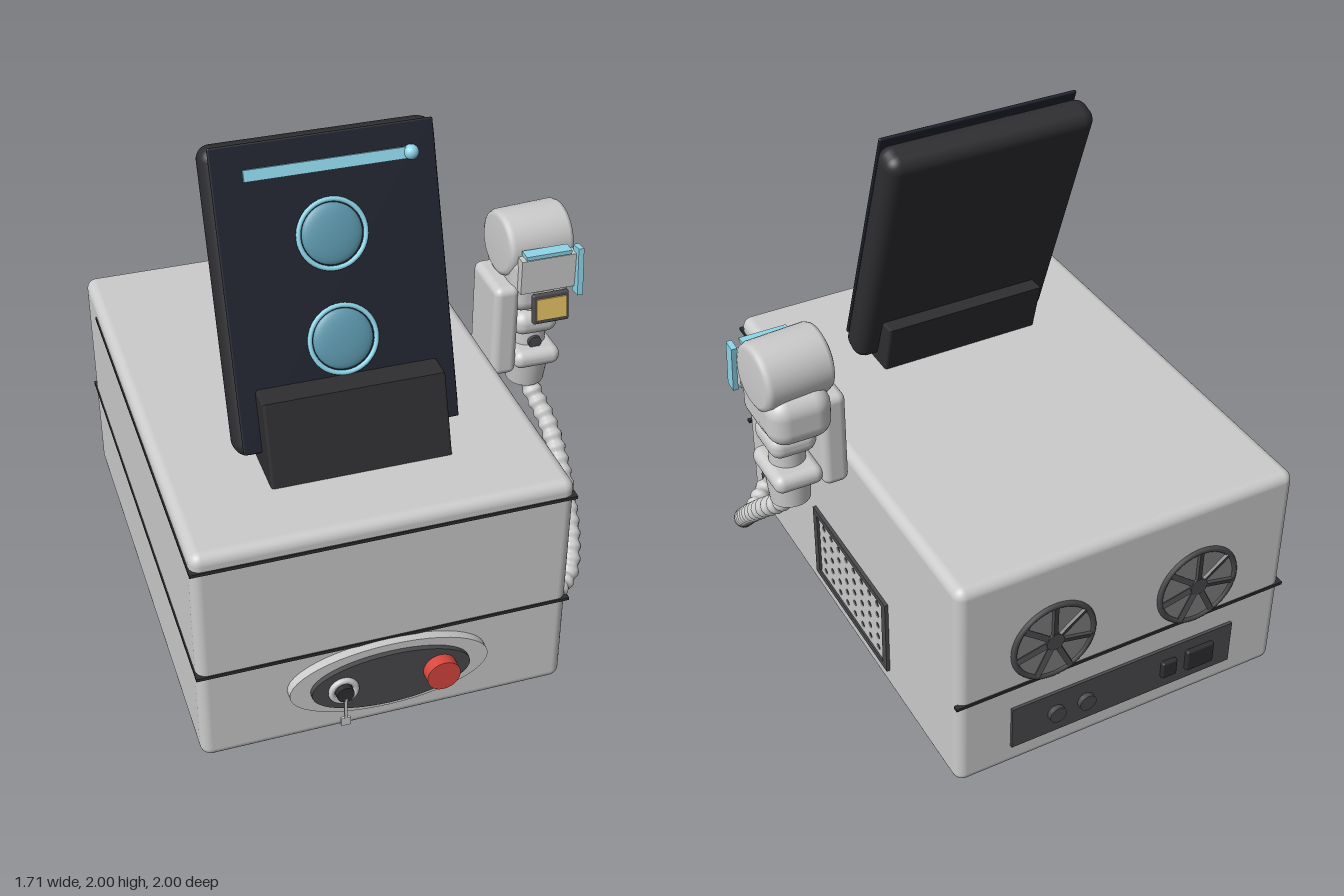
import * as THREE from 'three';
import { RoundedBoxGeometry } from 'three/addons/geometries/RoundedBoxGeometry.js';

const mat = (color) => new THREE.MeshStandardMaterial({ color });
const GREY = mat(0xcccccc);
const CHARCOAL = mat(0x2e2e31);
const NAVY = mat(0x1f232d);
const IRON = mat(0x4a4a4d);
const BLUE = mat(0x8fd6ea);
const LENS = mat(0x5c98ad);
const RED = mat(0xd8473f);
const YELLOW = mat(0xe0bd62);

export function createModel() {
  const model = new THREE.Group();
  model.name = 'scannerStation';

  const add = (parent, name, geometry, material, x = 0, y = 0, z = 0) => {
    const mesh = new THREE.Mesh(geometry, material);
    mesh.name = name;
    mesh.position.set(x, y, z);
    parent.add(mesh);
    return mesh;
  };
  const group = (name, x = 0, y = 0, z = 0, parent = model) => {
    const g = new THREE.Group();
    g.name = name;
    g.position.set(x, y, z);
    parent.add(g);
    return g;
  };
  const box = (w, h, d) => new THREE.BoxGeometry(w, h, d);
  const round = (w, h, d, r) => new RoundedBoxGeometry(w, h, d, 4, r);
  // disc or elliptical plate whose axis is z
  const disc = (rx, ry, depth) =>
    new THREE.CylinderGeometry(1, 1, depth, 48).rotateX(Math.PI / 2).scale(rx, ry, 1);

  // Housing
  const CX = -0.165, CZ = -0.035;
  add(model, 'housing', round(1.37, 0.92, 1.87, 0.04), GREY, CX, 0.46, CZ);

  // Seam lines: full lower band, and an upper band that fades out on the sides
  const seams = group('seams');
  add(seams, 'lowerSeamFront', box(1.38, 0.012, 0.02), CHARCOAL, CX, 0.39, 0.895);
  add(seams, 'lowerSeamBack', box(1.38, 0.012, 0.02), CHARCOAL, CX, 0.39, -0.965);
  add(seams, 'lowerSeamSide', box(0.02, 0.012, 1.88), CHARCOAL, -0.845, 0.39, CZ);
  add(seams, 'upperSeamFront', box(1.38, 0.012, 0.02), CHARCOAL, CX, 0.855, 0.895);
  add(seams, 'upperSeamRight', box(0.02, 0.012, 1.65), CHARCOAL, -0.845, 0.855, 0.08);
  add(seams, 'upperSeamLeft', box(0.02, 0.012, 0.8), CHARCOAL, 0.515, 0.855, 0.5);

  // Front control panel
  const controls = group('controlPanel', CX, 0.245, 0);
  add(controls, 'outerPlate', disc(0.37, 0.145, 0.04), GREY, 0, 0, 0.915);
  add(controls, 'innerPlate', disc(0.295, 0.115, 0.03), IRON, 0, 0, 0.94);
  add(controls, 'stopButton', disc(0.062, 0.062, 0.06), RED, 0.18, 0, 0.97);
  add(controls, 'keyRing', new THREE.TorusGeometry(0.045, 0.012, 10, 32), GREY, -0.18, 0, 0.96);
  add(controls, 'keyBarrel', disc(0.032, 0.032, 0.04), CHARCOAL, -0.18, 0, 0.965);
  add(controls, 'keyStem', box(0.01, 0.1, 0.01), GREY, -0.18, -0.07, 0.98);
  add(controls, 'keyTag', box(0.035, 0.035, 0.01), GREY, -0.18, -0.128, 0.98);

  // Back fans
  for (const x of [0.14, -0.46]) {
    const fan = group('fan', x, 0.55, -0.97);
    add(fan, 'fanBacking', disc(0.16, 0.16, 0.008), mat(0x808082));
    add(fan, 'fanRing', new THREE.TorusGeometry(0.16, 0.012, 8, 48), IRON);
    add(fan, 'fanHub', disc(0.035, 0.035, 0.03), IRON);
    for (let i = 0; i < 7; i++) {
      const arm = group('fanBlade', 0, 0, -0.006, fan);
      arm.rotation.z = (i / 7) * Math.PI * 2;
      add(arm, 'blade', box(0.022, 0.14, 0.012), IRON, 0, 0.085, 0).rotation.y = 0.3;
    }
  }

  // Back connector panel
  const ports = group('connectorPanel', CX, 0.195, -0.972);
  add(ports, 'connectorPlate', box(0.94, 0.19, 0.02), IRON);
  for (const x of [0.165, 0.29])
    add(ports, 'connectorKnob', disc(0.034, 0.034, 0.03), IRON, x, 0, -0.015);
  add(ports, 'smallSwitch', round(0.065, 0.075, 0.03, 0.008), CHARCOAL, -0.19, 0, -0.013);
  add(ports, 'powerSwitch', round(0.12, 0.095, 0.03, 0.008), CHARCOAL, -0.325, 0, -0.013);

  // Side grille, built facing +z and turned to face +x
  const grille = group('grille', 0.52, 0.265, -0.11);
  grille.rotation.y = Math.PI / 2;
  const rect = (Type, w, h) => new Type([
    new THREE.Vector2(-w / 2, -h / 2), new THREE.Vector2(w / 2, -h / 2),
    new THREE.Vector2(w / 2, h / 2), new THREE.Vector2(-w / 2, h / 2)]);
  const frame = rect(THREE.Shape, 0.64, 0.335);
  frame.holes.push(rect(THREE.Path, 0.575, 0.285));
  add(grille, 'grilleFrame',
    new THREE.ExtrudeGeometry(frame, { depth: 0.014, bevelEnabled: false }), IRON);
  const plate = rect(THREE.Shape, 0.56, 0.285);
  for (let i = 0; i < 8; i++)
    for (let j = 0; j < 5; j++)
      plate.holes.push(new THREE.Path().absarc((i - 3.5) * 0.068, (j - 2) * 0.055, 0.0125, 0, Math.PI * 2, true));
  add(grille, 'grilleBacking', box(0.58, 0.285, 0.004), CHARCOAL, 0, 0, 0.001);
  add(grille, 'perforatedPlate',
    new THREE.ExtrudeGeometry(plate, { depth: 0.003, bevelEnabled: false, curveSegments: 6 }), GREY, 0, 0, 0.004);

  // Screen stand: side profile extruded across x
  const profile = new THREE.Shape([[0.615, 0.91], [0.52, 1.2], [0.44, 1.2], [0.4, 1.12], [0.245, 1.12], [0.3, 0.91]]
    .map(([z, y]) => new THREE.Vector2(-z, y)));
  const standGeo = new THREE.ExtrudeGeometry(profile,
    { depth: 0.64, bevelSize: 0.01, bevelThickness: 0.01, bevelSegments: 3 });
  standGeo.translate(0, 0, -0.32).rotateY(Math.PI / 2);
  add(model, 'screenStand', standGeo, CHARCOAL, CX, 0, 0);

  // Leaning screen
  const screen = group('screen', CX, 1.462, 0.252);
  screen.rotation.x = -0.335;
  add(screen, 'screenCase', round(0.83, 1.09, 0.13, 0.05), CHARCOAL);
  add(screen, 'screenFace', round(0.79, 1.07, 0.014, 0.006), NAVY, 0, 0.01, 0.078);
  add(screen, 'sliderTrack', box(0.59, 0.04, 0.014), BLUE, 0.01, 0.438, 0.09);
  add(screen, 'sliderKnob', new THREE.SphereGeometry(0.027, 20, 14), BLUE, 0.305, 0.438, 0.092);
  for (const y of [0.2, -0.171]) {
    add(screen, 'dialRing', new THREE.TorusGeometry(0.12, 0.009, 10, 48), BLUE, 0, y, 0.09);
    add(screen, 'dialLens', new THREE.SphereGeometry(0.108, 32, 20).scale(1, 1, 0.22), LENS, 0, y, 0.085);
  }

  // Handset holder
  add(model, 'handsetHolder', round(0.1, 0.39, 0.25, 0.03), GREY, 0.575, 1.02, -0.03);

  // Handset
  const handset = group('handset', 0.712, 0, -0.02);
  const cyl = (name, r0, r1, h, y, m = GREY) =>
    add(handset, name, new THREE.CylinderGeometry(r0, r1, h, 32), m, 0, y, 0);
  cyl('cableSocket', 0.085, 0.075, 0.11, 0.785).rotation.x = 0.08;
  cyl('gripNeck', 0.065, 0.07, 0.32, 0.98);
  add(handset, 'lowerCollar', round(0.19, 0.075, 0.25, 0.035), GREY, 0, 0.875, 0);
  add(handset, 'upperCollar', round(0.18, 0.1, 0.2, 0.045), GREY, 0, 1.02, 0);
  add(handset, 'trigger', disc(0.026, 0.026, 0.03), IRON, 0, 0.93, 0.065);
  add(handset, 'headBase', round(0.235, 0.25, 0.25, 0.055), GREY, 0, 1.215, -0.005);
  add(handset, 'headRear', round(0.24, 0.2, 0.2, 0.07), GREY, 0, 1.19, -0.1);
  const drum = new THREE.LatheGeometry(
    [[0, -0.135], [0.105, -0.135], [0.122, -0.127], [0.13, -0.11], [0.13, 0.11], [0.122, 0.127], [0.105, 0.135], [0, 0.135]]
      .map(([r, y]) => new THREE.Vector2(r, y)), 40).rotateZ(Math.PI / 2);
  add(handset, 'headDrum', drum, GREY, -0.003, 1.335, -0.04).rotation.y = 0.08;

  // Handset lights and sensor
  add(handset, 'topLight', box(0.18, 0.016, 0.05), BLUE, 0, 1.36, 0.13);
  add(handset, 'sideLight', box(0.022, 0.19, 0.05), BLUE, 0.127, 1.27, 0.14).rotation.x = -0.1;
  add(handset, 'lightBracket', box(0.22, 0.14, 0.05), GREY, 0.01, 1.27, 0.115);
  const sensor = group('sensor', 0, 1.16, 0.19, handset);
  sensor.rotation.x = -0.15;
  add(sensor, 'sensorFrame', round(0.145, 0.12, 0.022, 0.008), IRON);
  add(sensor, 'sensorWindow', box(0.12, 0.085, 0.016), YELLOW, 0, 0, 0.01);
  add(sensor, 'sensorMount', box(0.08, 0.07, 0.09), GREY, 0, 0, -0.05);

  // Ribbed cable: tube swollen by a wave along its length
  const path = new THREE.CatmullRomCurve3([
    [0.5, 0.2, 0.71], [0.56, 0.19, 0.68], [0.63, 0.175, 0.61], [0.69, 0.185, 0.555], [0.735, 0.27, 0.46],
    [0.765, 0.43, 0.29], [0.76, 0.58, 0.13], [0.73, 0.68, 0.02], [0.712, 0.75, -0.02],
  ].map((p) => new THREE.Vector3(...p)));
  const cable = new THREE.TubeGeometry(path, 200, 0.036, 14);
  const pos = cable.attributes.position, nor = cable.attributes.normal, uv = cable.attributes.uv;
  for (let i = 0; i < pos.count; i++) {
    const k = 0.004 * Math.sin(uv.getX(i) * Math.PI * 2 * 22);
    pos.setXYZ(i, pos.getX(i) + nor.getX(i) * k, pos.getY(i) + nor.getY(i) * k, pos.getZ(i) + nor.getZ(i) * k);
  }
  cable.computeVertexNormals();
  add(model, 'cable', cable, GREY);
  add(model, 'cableInlet', disc(0.055, 0.055, 0.03).rotateY(Math.PI / 2), IRON, 0.522, 0.2, 0.7);

  return model;
}
